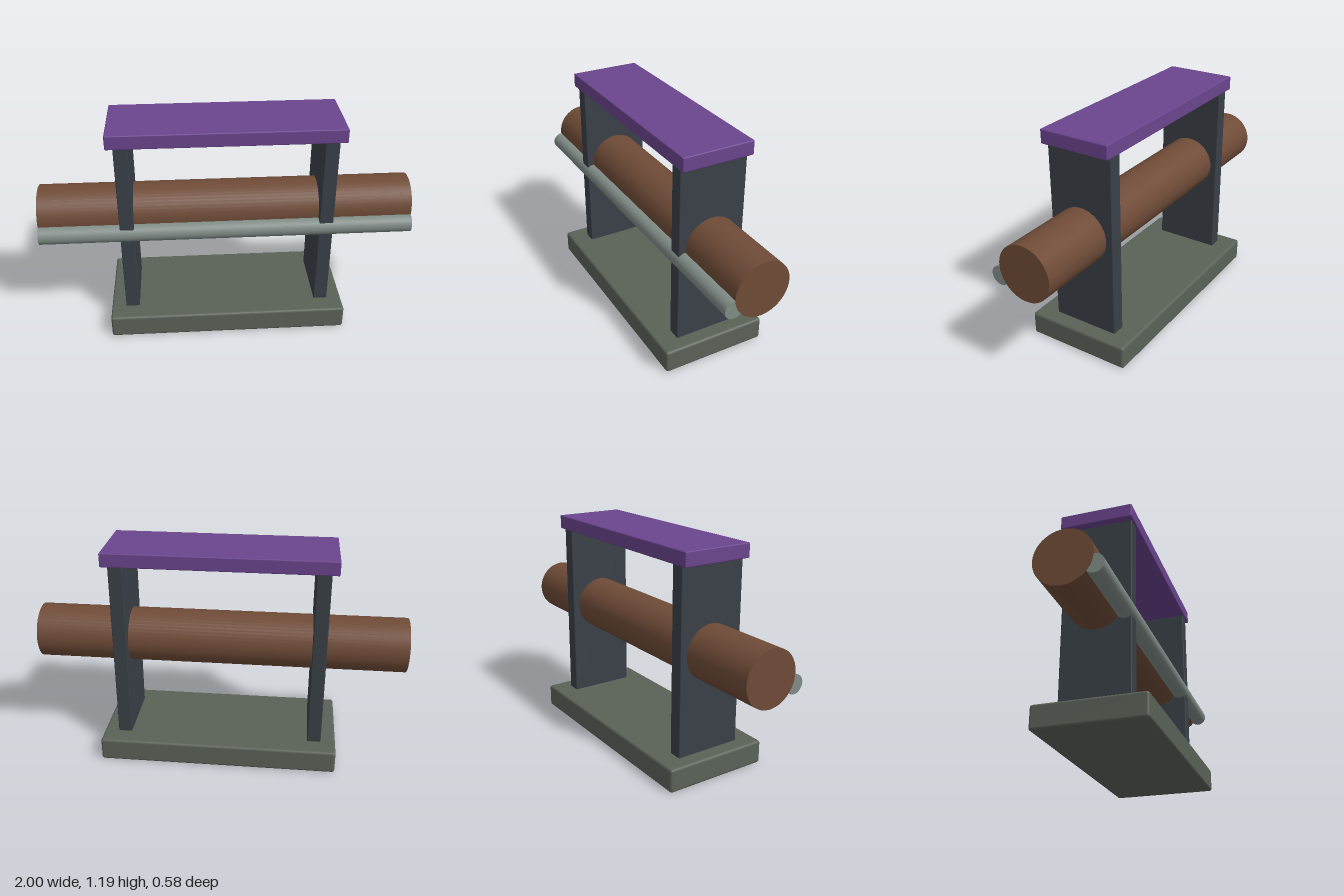
import * as THREE from 'three';
import { RoundedBoxGeometry } from 'three/addons/geometries/RoundedBoxGeometry.js';

const paint = (color) => new THREE.MeshStandardMaterial({ color });

export function createModel() {
  const model = new THREE.Group();

  const add = (name, geometry, material, x, y, z) => {
    const mesh = new THREE.Mesh(geometry, material);
    mesh.name = name;
    mesh.position.set(x, y, z);
    model.add(mesh);
    return mesh;
  };

  // Softly rounded slab spanning y0 to y1
  const slab = (name, w, y0, y1, d, radius, material, x = 0) =>
    add(name, new RoundedBoxGeometry(w, y1 - y0, d, 3, radius), material, x, (y0 + y1) / 2, 0);

  // Horizontal round bar along x
  const bar = (name, radius, length, y, z, material) => {
    const geometry = new THREE.CylinderGeometry(radius, radius, length, 48);
    geometry.rotateZ(Math.PI / 2);
    return add(name, geometry, material, 0, y, z);
  };

  // Base and top board
  slab('base', 1.3, 0, 0.128, 0.58, 0.014, paint(0x5a6258));
  slab('topBoard', 1.215, 1.113, 1.189, 0.387, 0.006, paint(0x6b448e));

  // Pair of upright panels
  const postMaterial = paint(0x394047);
  for (const [name, side] of [['leftPost', 1], ['rightPost', -1]]) {
    slab(name, 0.075, 0.12, 1.12, 0.367, 0.005, postMaterial, side * 0.532);
  }

  // Main roller and the thin rod resting against its front
  bar('roller', 0.147, 2, 0.66, 0, paint(0x6f4b37));
  bar('frontRod', 0.049, 1.996, 0.6, 0.149, paint(0x818c87));

  return model;
}
